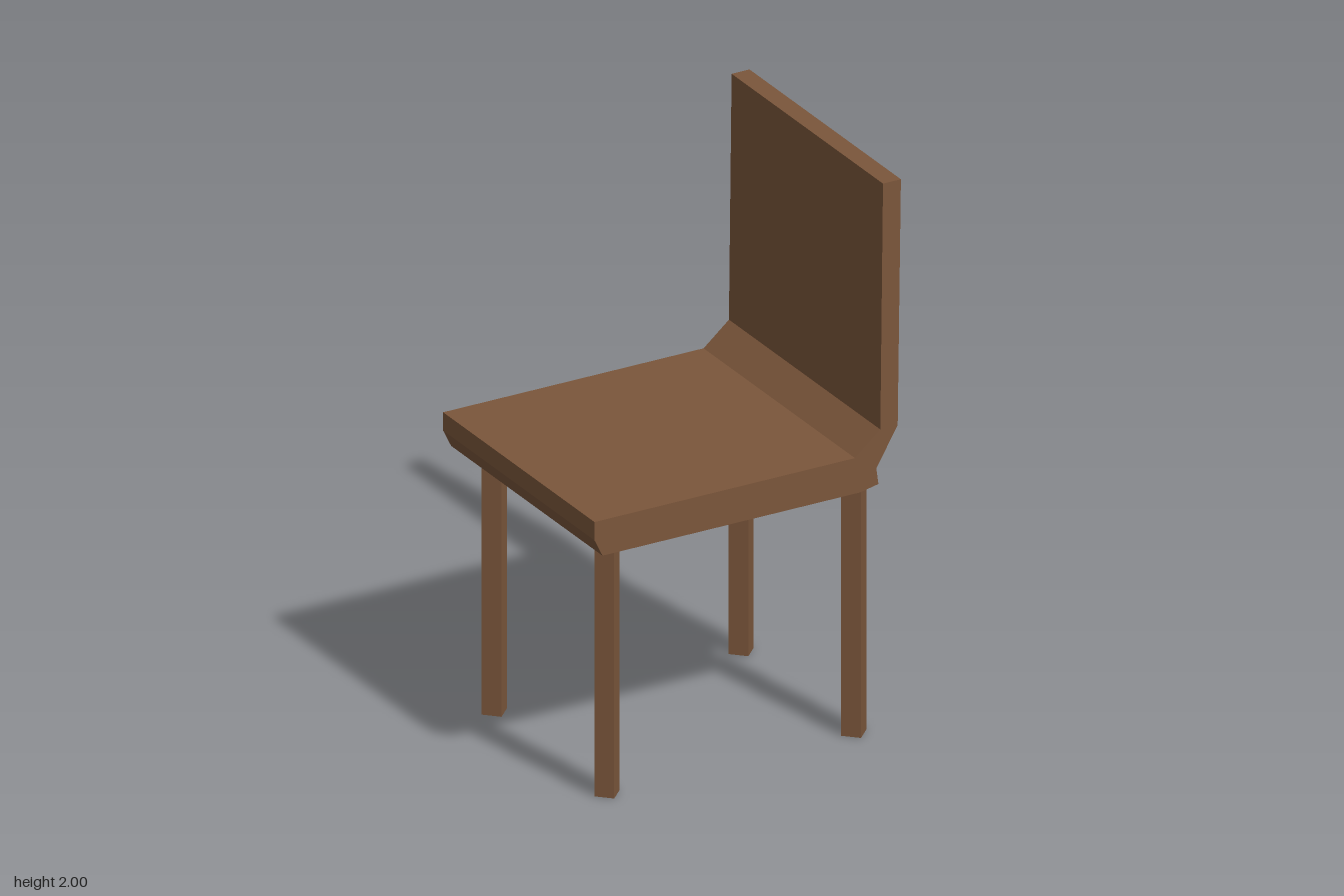
import * as THREE from 'three';

const wood = new THREE.MeshStandardMaterial({ color: 0x7b563b, flatShading: true });
wood.name = 'brown wood';

// Square leg turned 45 degrees, standing on y = 0
function makeLeg(name, x, z, height, segments = 1) {
  const geometry = new THREE.CylinderGeometry(0.047, 0.047, height, 4, segments);
  geometry.translate(0, height / 2, 0);
  const leg = new THREE.Mesh(geometry, wood);
  leg.name = name;
  leg.position.set(x, 0, z);
  return leg;
}

// Slope the upper end of a back leg in under the seat
function taperTop(leg, height) {
  const p = leg.geometry.attributes.position;
  for (let i = 0; i < p.count; i++) {
    const x = p.getX(i), y = p.getY(i);
    if (y > height - 0.01) {
      p.setX(i, x * 0.68 - 0.008);
      p.setZ(i, p.getZ(i) * 0.75);
    } else if (y > 0.1) {
      p.setY(i, 0.88 - x * 0.45);
    }
  }
}

export function createModel() {
  const chair = new THREE.Group();
  chair.name = 'chair';

  // Seat and backrest: one side profile extruded across the width
  const profile = new THREE.Shape([
    [-0.575, 1.045], [-0.575, 0.98], [-0.545, 0.918], [0.42, 0.918],
    [0.488, 0.932], [0.48, 0.99], [0.56, 1.125], [0.572, 2],
    [0.505, 2], [0.495, 1.125], [0.4, 1.045],
  ].map(([x, y]) => new THREE.Vector2(x, y)));
  const width = 0.974;
  const geometry = new THREE.ExtrudeGeometry(profile, { depth: width, bevelEnabled: false });
  geometry.translate(0, 0, -width / 2);
  const shell = new THREE.Mesh(geometry, wood);
  shell.name = 'seatAndBackrest';
  chair.add(shell);

  // Four legs, the seat faces -x and the backrest stands at +x
  for (const [side, z] of [['Left', 0.364], ['Right', -0.361]]) {
    chair.add(makeLeg('frontLeg' + side, -0.457, z, 0.92));
    const back = makeLeg('backLeg' + side, 0.467, z, 0.925, 2);
    taperTop(back, 0.925);
    chair.add(back);
  }
  return chair;
}
